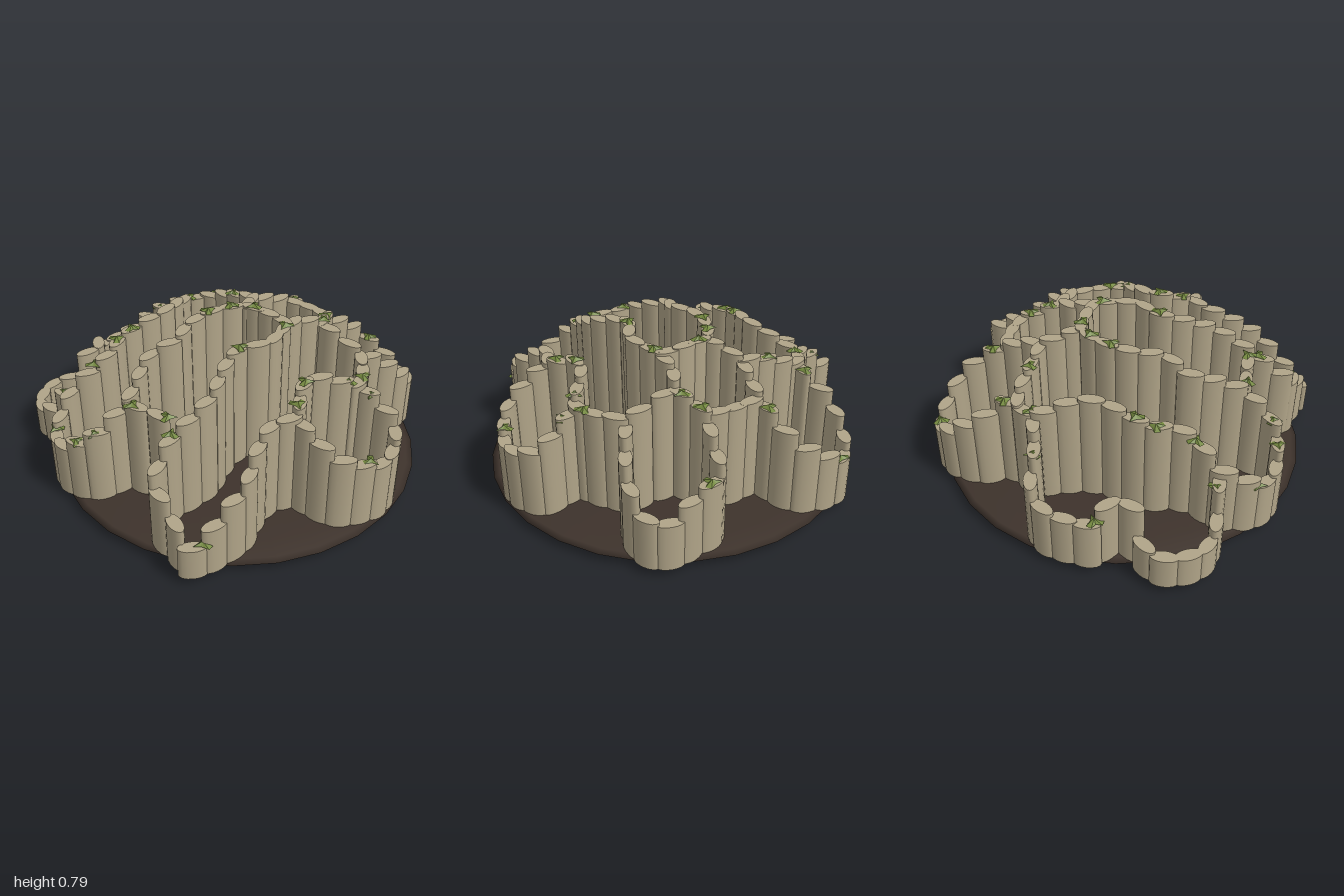
import * as THREE from 'three';

const flesh = new THREE.MeshStandardMaterial({ color: 0xb0a488 });
flesh.name = 'sandy column';
const rock = new THREE.MeshStandardMaterial({ color: 0x3d322b });
rock.name = 'dark rock';
const green = new THREE.MeshStandardMaterial({ color: 0x74893f, flatShading: true });
green.name = 'polyp green';

const FLOOR = 0.04;

// Wall centre lines seen from above, as x, z pairs
const walls = {
  backLoop: [-.63, -.57, -.65, -.79, -.6, -.9, -.45, -.97, -.35, -.93, -.28, -.86, -.18, -.87, -.12, -.94,
    -.01, -.95, .13, -.93, .21, -.86, .23, -.74, .29, -.58],
  backRow: [-.81, -.51, -.63, -.57, -.5, -.52, -.39, -.51, -.31, -.54, -.21, -.54, -.01, -.5, .1, -.52,
    .29, -.58, .46, -.51, .58, -.56, .72, -.55, .82, -.5, .87, -.42, .84, -.21, .77, -.15, .66, -.12,
    .58, -.12, .38, -.16],
  backRightEnd: [-.81, -.51, -.87, -.41, -.87, -.28, -.82, -.18, -.67, -.12],
  middleRow: [-.67, -.12, -.55, -.16, -.4, -.21, -.26, -.16, -.13, -.19, .01, -.18, .13, -.13, .2, -.08,
    .29, -.13, .38, -.16],
  backLink: [.38, -.55, .4, -.45, .39, -.33, .38, -.16],
  rightLink: [-.67, -.12, -.65, .05, -.65, .15],
  centreLink: [.2, -.08, .21, .1, .2, .2],
  leftLink: [.61, -.11, .62, .05, .6, .18],
  frontRow: [-.87, .24, -.71, .21, -.58, .23, -.45, .24, -.3, .19, -.16, .17, -.02, .24, .08, .23, .2, .2,
    .32, .2, .43, .24, .57, .19, .71, .22, .82, .26, .84, .4, .84, .53, .78, .61, .65, .63, .53, .58, .42, .51],
  frontRightEnd: [-.87, .24, -.89, .37, -.92, .5, -.86, .55],
  lowRow: [-.86, .55, -.75, .58, -.63, .6, -.5, .56, -.37, .545, -.25, .59, -.1, .52, 0, .53, .08, .59,
    .18, .65, .29, .61, .42, .51],
  frontLink: [.42, .24, .42, .38, .42, .51],
  frontLoop: [-.25, .59, -.26, .66, -.24, .81, -.16, .89, -.01, .95, .13, .92, .21, .85, .2, .74, .18, .65],
};

// Star polyps, as x, z pairs
const polyps = [-.12, -.94, .23, -.76, -.63, -.65, -.81, -.51, -.5, -.53, -.31, -.55, -.21, -.54, .29, -.58,
  .46, -.51, .87, -.43, .39, -.33, -.87, -.28, -.83, -.18, -.67, -.07, .01, -.18, .13, -.13, .2, -.03,
  .67, -.12, -.64, .14, -.69, .2, -.16, .17, .16, .21, .47, .24, .57, .19, .84, .31, -.87, .55,
  -.21, .57, -.08, .52, .13, .63, .24, .64, .19, .73, -.09, .92];

// Domed skyline of the colony
function domeHeight(x, z) {
  const r2 = x * x + (z - 0.02) ** 2;
  return Math.max(0.21, 0.785 - 0.44 * r2 - 0.09 * r2 ** 6);
}

// Row of oval columns following a wall line
function buildWall(name, flat) {
  const group = new THREE.Group();
  group.name = name;
  const points = [];
  for (let i = 0; i < flat.length; i += 2) points.push(new THREE.Vector3(flat[i], 0, flat[i + 1]));
  const curve = new THREE.CatmullRomCurve3(points);
  const count = Math.max(2, Math.round(curve.getLength() / 0.112));
  for (let i = 0; i < count; i++) {
    const u = (i + 0.5) / count;
    const p = curve.getPointAt(u);
    const t = curve.getTangentAt(u);
    const h = domeHeight(p.x, p.z) - FLOOR;
    const column = new THREE.Mesh(columnGeometry, flesh);
    column.name = 'column';
    column.scale.set(0.069, h, 0.034);
    column.position.set(p.x, FLOOR + h / 2, p.z);
    column.rotation.y = Math.atan2(-t.z, t.x);
    group.add(column);
  }
  return group;
}

const columnGeometry = new THREE.CylinderGeometry(1, 1, 1, 16);

// Five-pointed star with a raised centre
function starGeometry() {
  const geometry = new THREE.ConeGeometry(1, 0.018, 10);
  const pos = geometry.attributes.position;
  for (let i = 0; i < pos.count; i++) {
    const x = pos.getX(i), z = pos.getZ(i);
    if (Math.hypot(x, z) < 0.5) continue;
    const step = Math.round(Math.atan2(z, x) / (Math.PI / 5));
    const r = step % 2 === 0 ? 0.047 : 0.021;
    pos.setX(i, x * r);
    pos.setZ(i, z * r);
  }
  geometry.computeVertexNormals();
  return geometry;
}

export function createModel() {
  const model = new THREE.Group();
  model.name = 'coralColony';

  // Flattened rock base
  const base = new THREE.Mesh(new THREE.SphereGeometry(0.97, 28, 12), rock);
  base.name = 'base';
  base.scale.y = 0.042;
  base.position.set(0, 0.041, 0.02);
  model.add(base);

  // Meandering column walls
  for (const [name, line] of Object.entries(walls)) model.add(buildWall(name, line));

  // Star polyps resting on the columns
  const star = starGeometry();
  for (let i = 0; i < polyps.length; i += 2) {
    const x = polyps[i], z = polyps[i + 1];
    const polyp = new THREE.Mesh(star, green);
    polyp.name = 'polyp';
    polyp.position.set(x, domeHeight(x, z) + 0.014, z);
    polyp.rotation.y = i * 0.7;
    model.add(polyp);
  }
  return model;
}
